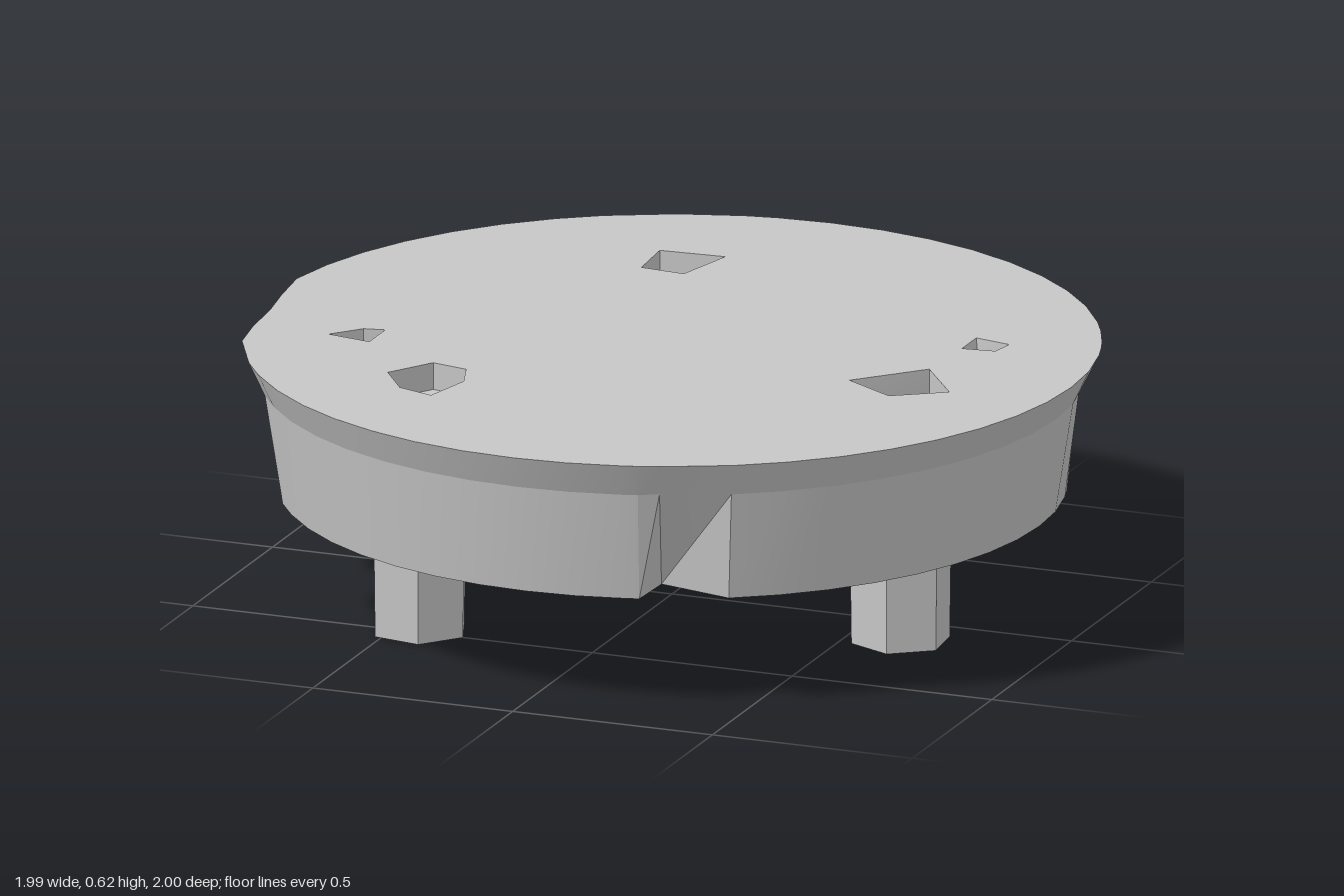
import * as THREE from 'three';
import { toCreasedNormals } from 'three/addons/utils/BufferGeometryUtils.js';

const RAD = Math.PI / 180;
const TOP = 0.622, LIP = 0.54, BASE = 0.275;

// Joins rings of equal point count into walls; rising counter-clockwise rings face outward
function loft(rings) {
  const n = rings[0].length;
  const index = [];
  for (let r = 0; r < rings.length - 1; r++) {
    for (let i = 0; i < n; i++) {
      const j = (i + 1) % n;
      const a = r * n + i, b = r * n + j, c = b + n, d = a + n;
      index.push(a, b, c, a, c, d);
    }
  }
  const geo = new THREE.BufferGeometry();
  geo.setAttribute('position', new THREE.Float32BufferAttribute(rings.flat(2), 3));
  geo.setIndex(index);
  return toCreasedNormals(geo, 14 * RAD);
}

// Flat horizontal face from a ring, with optional holes, facing up or down
function cap(ring, holes, y, up) {
  const s = up ? -1 : 1;
  const flat = (pts) => pts.map((p) => new THREE.Vector2(p[0], s * p[2]));
  const shape = new THREE.Shape(flat(ring));
  for (const h of holes) shape.holes.push(new THREE.Path(flat(h)));
  return new THREE.ShapeGeometry(shape).rotateX(s * Math.PI / 2).translate(0, y, 0);
}

export function createModel() {
  const group = new THREE.Group();
  const stone = new THREE.MeshStandardMaterial({ color: 0xc6c6c6 });
  stone.name = 'greyStone';
  const add = (name, geo) => {
    const mesh = new THREE.Mesh(geo, stone);
    mesh.name = name;
    group.add(mesh);
    return mesh;
  };

  // Wedge notches round the side: [angle of deepest point, degrees before, degrees after, depth]
  const notches = [[20, 3, 10, 0.12], [111, 3, 5, 0.1], [201, 9, 10, 0.11], [-68, 7, 10, 0.11]]
    .map(([a, b, c, d]) => ({ a: (a + 360) % 360, b, c, d }));
  const angles = [];
  for (let a = 0; a < 360; a += 7.5) {
    if (!notches.some((n) => a > n.a - n.b - 2 && a < n.a + n.c + 2)) angles.push(a);
  }
  for (const n of notches) angles.push(n.a - n.b, n.a, n.a + n.c);
  angles.sort((p, q) => p - q);

  // Smooth dip of the radius over an arc
  const dip = (a, from, to, depth) =>
    a > from && a < to ? depth * Math.sin(Math.PI * (a - from) / (to - from)) : 0;
  const cut = (a) => notches.find((n) => n.a === a)?.d ?? 0;
  const ring = (radius, y) => angles.map((a) => {
    const r = radius(a);
    return [r * Math.sin(a * RAD), y, r * Math.cos(a * RAD)];
  });

  // Side wall with flared, chipped lip
  const rimChip = (a) => dip(a, 264, 290, 0.035);
  const bottomRing = ring((a) => 0.92 - cut(a), BASE);
  const lipRing = ring((a) => 0.962 - cut(a) * 0.1 - rimChip(a) * 0.4
    - dip(a, 100, 138, 0.02) - dip(a, 138, 160, 0.02), LIP);
  const topRing = ring((a) => 1 - rimChip(a), TOP);
  add('slabSide', loft([bottomRing, lipRing, topRing]));

  // Chipped pits in the top: [x, z] outline, then the floor corners that slope inward
  const pits = [
    [[[-0.29, -0.65], [-0.13, -0.66], [-0.17, -0.5], [-0.28, -0.51]], {}],
    [[[0.65, -0.28], [0.74, -0.26], [0.73, -0.2], [0.65, -0.19]], { 0: [0.66, -0.27], 3: [0.665, -0.2] }],
    [[[0.64, -0.01], [0.75, 0.14], [0.63, 0.22], [0.5, 0.14]], { 2: [0.62, 0.17], 3: [0.515, 0.13] }],
    [[[-0.76, 0.25], [-0.7, 0.18], [-0.65, 0.17], [-0.65, 0.27]], { 2: [-0.67, 0.19], 3: [-0.7, 0.24] }],
    [[[-0.45, 0.37], [-0.36, 0.39], [-0.33, 0.48], [-0.36, 0.61], [-0.45, 0.58], [-0.52, 0.48]],
      { 3: [-0.355, 0.58] }],
  ];
  const pitFloor = TOP - 0.065;
  const pitRings = pits.map(([outline]) => outline.map(([x, z]) => [x, TOP, z]).reverse());
  add('slabTop', cap(topRing, pitRings, TOP, true));
  pits.forEach(([outline, slopes], i) => {
    const floor = outline.map((p, k) => slopes[k] ?? p).map(([x, z]) => [x, pitFloor, z]).reverse();
    add('pitWall' + (i + 1), loft([pitRings[i], floor]));
    add('pitFloor' + (i + 1), cap(floor, [], pitFloor, true));
  });

  // Underside with a deep round socket
  const circle = (r, y) => Array.from({ length: 11 }, (_, i) => {
    const a = i / 11 * Math.PI * 2;
    return [r * Math.sin(a), y, r * Math.cos(a)];
  });
  const mouth = circle(0.3, BASE), ceiling = circle(0.28, 0.59);
  add('slabUnderside', cap(bottomRing, [mouth], BASE, false));
  add('socketWall', loft([ceiling, mouth]));
  add('socketCeiling', cap(ceiling, [], 0.59, false));

  // Three six-sided feet
  const feet = [[0.628, 0.14, 0.1], [-0.44, 0.48, 0.35], [-0.19, -0.615, 0.2]];
  feet.forEach(([x, z, turn], i) => {
    const geo = new THREE.CylinderGeometry(0.122, 0.118, 0.3, 6);
    const foot = add('foot' + (i + 1), toCreasedNormals(geo, 0.5));
    foot.position.set(x, 0.155, z);
    foot.rotation.y = turn;
  });

  return group;
}
